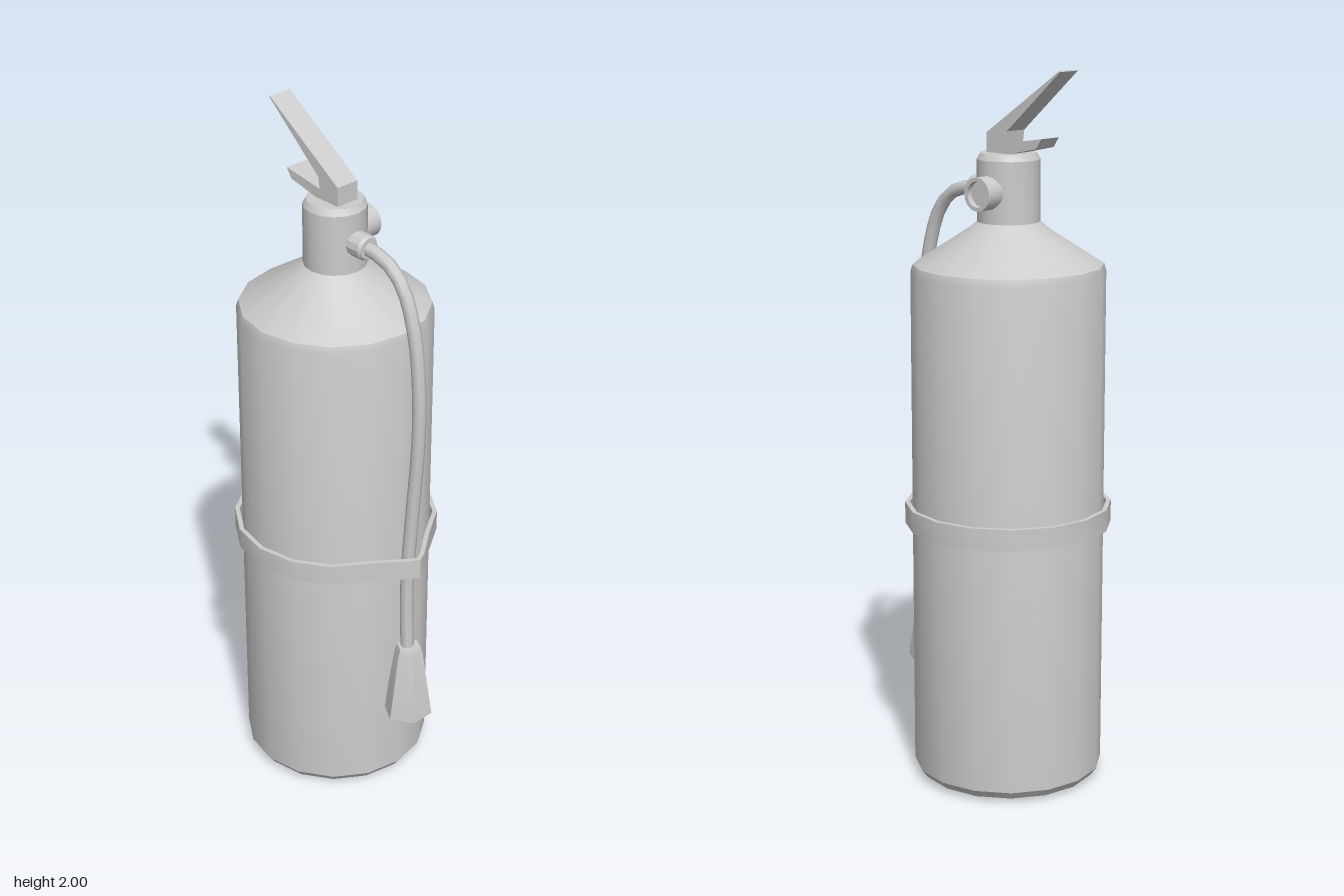
import * as THREE from 'three';
import { toCreasedNormals } from 'three/addons/utils/BufferGeometryUtils.js';

const AXIS_Z = -0.04; // centre line of the tank
const VALVE_Y = 1.67; // height of the valve ports

export function createModel() {
  const group = new THREE.Group();
  const material = new THREE.MeshStandardMaterial({ color: 0xcccccc });

  const add = (name, geometry, x = 0, y = 0, z = 0) => {
    const mesh = new THREE.Mesh(geometry, material);
    mesh.name = name;
    mesh.position.set(x, y, z);
    group.add(mesh);
    return mesh;
  };
  const lathe = (profile, sides, crease = 0.5) => toCreasedNormals(
    new THREE.LatheGeometry(profile.map(([r, y]) => new THREE.Vector2(r, y)), sides), crease);

  // Tank with rounded foot and conical shoulder
  add('tank', lathe([
    [0, 0.004], [0.215, 0], [0.25, 0.012], [0.267, 0.035], [0.267, 1.45],
    [0.261, 1.47], [0.11, 1.567], [0.087, 1.587], [0, 1.587],
  ], 16, 0.6), 0, 0, AXIS_Z);

  // Valve body
  add('valveBody', lathe([[0, 1.575], [0.086, 1.575], [0.086, 1.755], [0.076, 1.772], [0, 1.772]], 16), 0, 0, AXIS_Z);

  // Pressure gauge on the left side, with a recessed face
  const gauge = add('pressureGauge', lathe([
    [0.046, 0.06], [0.046, 0.125], [0.035, 0.125], [0.035, 0.108], [0, 0.108],
  ], 16), 0, VALVE_Y, AXIS_Z);
  gauge.rotation.z = -Math.PI / 2;

  // Hose connector on the front
  const connector = add('hoseConnector', lathe([
    [0.035, 0.06], [0.035, 0.122], [0.03, 0.13], [0, 0.13],
  ], 12), 0, VALVE_Y, AXIS_Z);
  connector.rotation.x = Math.PI / 2;

  // Hose curving over and hanging down the front
  const path = new THREE.CatmullRomCurve3([
    [0, 1.67, 0.075], [0, 1.667, 0.11], [0, 1.648, 0.17], [0, 1.595, 0.222], [0, 1.47, 0.265],
    [0, 1.3, 0.284], [0, 1.14, 0.283], [-0.002, 0.95, 0.27], [-0.005, 0.74, 0.258],
    [-0.006, 0.6, 0.258], [-0.006, 0.47, 0.264],
  ].map(p => new THREE.Vector3(...p)));
  add('hose', new THREE.TubeGeometry(path, 28, 0.019, 8));

  // Hexagonal discharge horn
  const horn = lathe([[0, 0.262], [0.071, 0.262], [0.04, 0.475], [0.034, 0.49], [0, 0.49]], 6);
  add('dischargeHorn', horn.rotateY(Math.PI / 6), -0.006, 0, 0.27);

  // Strap around the tank, pulled forward over the hose
  const strapOutline = (radius, noseX, noseZ) => {
    const points = [];
    for (let i = 1; i < 16; i++) {
      const a = i * Math.PI / 8;
      points.push(new THREE.Vector2(radius * Math.sin(a), -(AXIS_Z + radius * Math.cos(a))));
    }
    points.push(new THREE.Vector2(-noseX, -(noseZ - 0.015)), new THREE.Vector2(0, -noseZ),
      new THREE.Vector2(noseX, -(noseZ - 0.015)));
    return points;
  };
  const strap = new THREE.Shape(strapOutline(0.288, 0.03, 0.303));
  strap.holes.push(new THREE.Path(strapOutline(0.275, 0.025, 0.291)));
  add('strap', toCreasedNormals(
    new THREE.ExtrudeGeometry(strap, { depth: 0.06, bevelEnabled: false }).rotateX(-Math.PI / 2), 0.5), 0, 0.74, 0);

  // Squeeze lever and carrying handle, one side outline in (-z, y)
  const handle = new THREE.Shape([
    [-0.008, 1.768], [0.055, 1.768], [0.17, 1.793], [0.188, 1.82], [0.06, 1.8],
    [0.065, 1.832], [0.252, 1.997], [0.25, 2], [-0.008, 1.825],
  ].map(p => new THREE.Vector2(...p)));
  add('leverAndHandle',
    new THREE.ExtrudeGeometry(handle, { depth: 0.07, bevelEnabled: false })
      .translate(0, 0, -0.035).rotateY(Math.PI / 2));

  return group;
}
